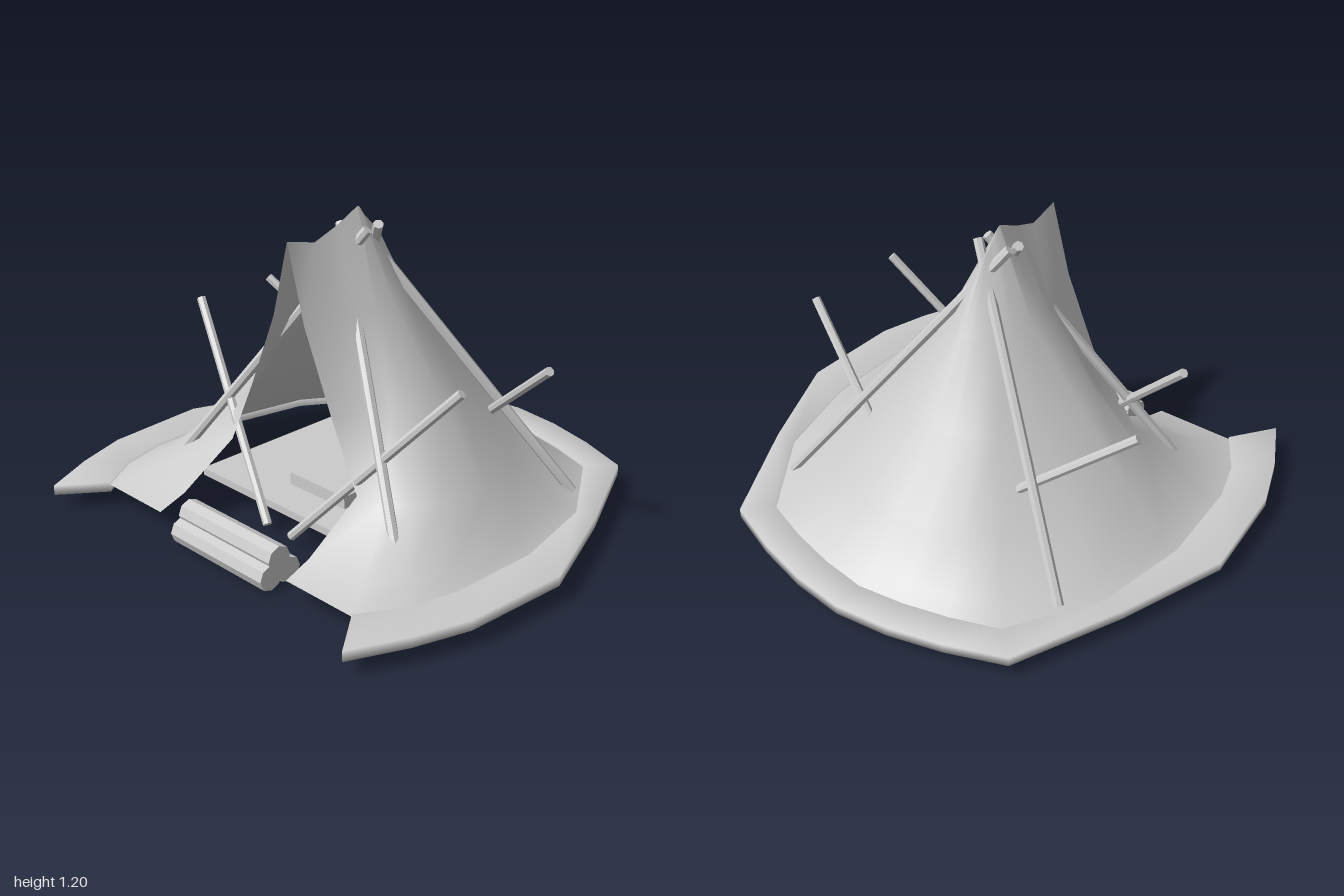
import * as THREE from 'three';

const flat = new THREE.MeshStandardMaterial({ color: 0xcccccc, flatShading: true });
const smooth = new THREE.MeshStandardMaterial({ color: 0xcccccc, side: THREE.DoubleSide });

function add(group, name, geometry, mat = flat) {
  const mesh = new THREE.Mesh(geometry, mat);
  mesh.name = name;
  group.add(mesh);
  return mesh;
}

// Straight stick between two points
function addPole(group, name, from, to, radius = 0.02) {
  const a = new THREE.Vector3(...from);
  const b = new THREE.Vector3(...to);
  const dir = b.clone().sub(a);
  const pole = add(group, name, new THREE.CylinderGeometry(radius, radius, dir.length(), 7));
  pole.position.copy(a).add(b).multiplyScalar(0.5);
  pole.quaternion.setFromUnitVectors(new THREE.Vector3(0, 1, 0), dir.normalize());
}

// Smooth sheet through columns of points
function loft(columns) {
  const rows = columns[0].length;
  const index = [];
  for (let c = 0; c < columns.length - 1; c++) {
    for (let r = 0; r < rows - 1; r++) {
      const a = c * rows + r;
      const b = a + rows;
      index.push(a, b, b + 1, a, b + 1, a + 1);
    }
  }
  const geometry = new THREE.BufferGeometry();
  geometry.setAttribute('position', new THREE.Float32BufferAttribute(columns.flat(2), 3));
  geometry.setIndex(index);
  geometry.computeVertexNormals();
  return geometry;
}

// Completes a half (door to back centre) with its mirror image
function mirrorColumns(half) {
  const other = half.slice(0, -1).reverse().map((col) => col.map(([x, y, z]) => [-x, y, z]));
  return [...half, ...other];
}

// Horseshoe-shaped ground border as [outer x, outer z, inner x, inner z]
const rim = [
  [0.8, 0.92, 0.67, 0.75], [0.9, 0.71, 0.77, 0.59], [0.97, 0.5, 0.82, 0.41], [1, 0.08, 0.835, 0.04],
  [0.84, -0.34, 0.76, -0.33], [0.64, -0.765, 0.54, -0.67], [0.42, -0.85, 0.36, -0.735],
  [0.21, -0.905, 0.18, -0.78], [0, -0.93, 0, -0.805],
];

function rimGeometry() {
  const half = rim.map(([ox, oz, ix, iz]) => [
    [ix, 0.06, iz], [ox, 0.06, oz], [ox, 0.1, oz], [ix, 0.1, iz], [ix, 0.06, iz],
  ]);
  // Collapsed first section closes the tip
  const tip = half[0].map(([x, , z]) => [x, 0.08, z]);
  return loft(mirrorColumns([tip, ...half]));
}

// Cloth seams from door to back: x, z at heights 0.28, 0.55 and 0.85, then ridge y, z
const seams = [
  [0.34, 0.4, 0.21, 0.4, 0.08, 0.4, 1.14, 0.4],
  [0.45, 0.36, 0.28, 0.28, 0.13, 0.24, 1.11, 0.27],
  [0.53, 0.32, 0.33, 0.22, 0.15, 0.17, 1.15, 0.16],
  [0.59, 0.23, 0.38, 0.16, 0.16, 0.12, 1.2, 0.06],
  [0.63, 0.04, 0.41, 0.03, 0.17, 0.03, 1.2, 0.05],
  [0.53, -0.21, 0.33, -0.13, 0.14, -0.06, 1.16, 0.02],
  [0.37, -0.44, 0.24, -0.28, 0.09, -0.12, 1.14, 0],
  [0.26, -0.53, 0.17, -0.33, 0.06, -0.15, 1.12, -0.02],
  [0.13, -0.58, 0.09, -0.36, 0.03, -0.17, 1.12, -0.03],
  [0, -0.6, 0, -0.37, 0, -0.18, 1.11, -0.04],
];

function clothGeometry() {
  const half = seams.map(([x1, z1, x2, z2, x3, z3, topY, topZ], i) => {
    // The hem follows the inside of the border, except at the door
    const [hx, hz] = i === 0 ? [0.35, 0.75] : rim[i - 1].slice(2);
    return [
      [hx, 0.09, hz],
      [hx + (x1 - hx) * 0.32, 0.13, hz + (z1 - hz) * 0.32],
      [x1, 0.28, z1], [x2, 0.55, z2], [x3, 0.85, z3], [0, topY, topZ],
    ];
  });
  return loft(mirrorColumns(half));
}

export function createModel() {
  const model = new THREE.Group();
  model.name = 'tent';

  add(model, 'cloth', clothGeometry(), smooth);
  add(model, 'groundRim', rimGeometry(), smooth);

  // Floor board with a low block on it
  add(model, 'floor', new THREE.BoxGeometry(1.06, 0.03, 0.8)).position.set(0, 0.075, 0);
  add(model, 'floorBlock', new THREE.BoxGeometry(0.3, 0.05, 0.26)).position.set(-0.03, 0.115, 0.12);

  // Long poles cross at the peak, short ones lean against them
  const poles = new THREE.Group();
  poles.name = 'poles';
  model.add(poles);
  for (const s of [1, -1]) {
    addPole(poles, 'backPole', [s * 0.64, 0.1, -0.46], [-s * 0.07, 1.14, 0.02]);
    addPole(poles, 'frontPole', [s * 0.63, 0.1, 0.48], [-s * 0.07, 1.13, 0.075]);
    addPole(poles, 'frontBrace', [s * 0.685, 0.73, 0.25], [s * 0.065, 0.04, 0.47], 0.018);
    addPole(poles, 'backBrace', [s * 0.74, 0.71, -0.15], [s * 0.3, 0.35, -0.32], 0.018);
  }

  // Stack of three logs before the door
  const logs = new THREE.Group();
  logs.name = 'logPile';
  model.add(logs);
  for (const [y, z] of [[0.05, 0.73], [0.05, 0.645], [0.11, 0.69]]) {
    const log = add(logs, 'log', new THREE.CylinderGeometry(0.05, 0.05, 0.5, 8));
    log.rotation.z = Math.PI / 2;
    log.position.set(0, y, z);
  }
  return model;
}
